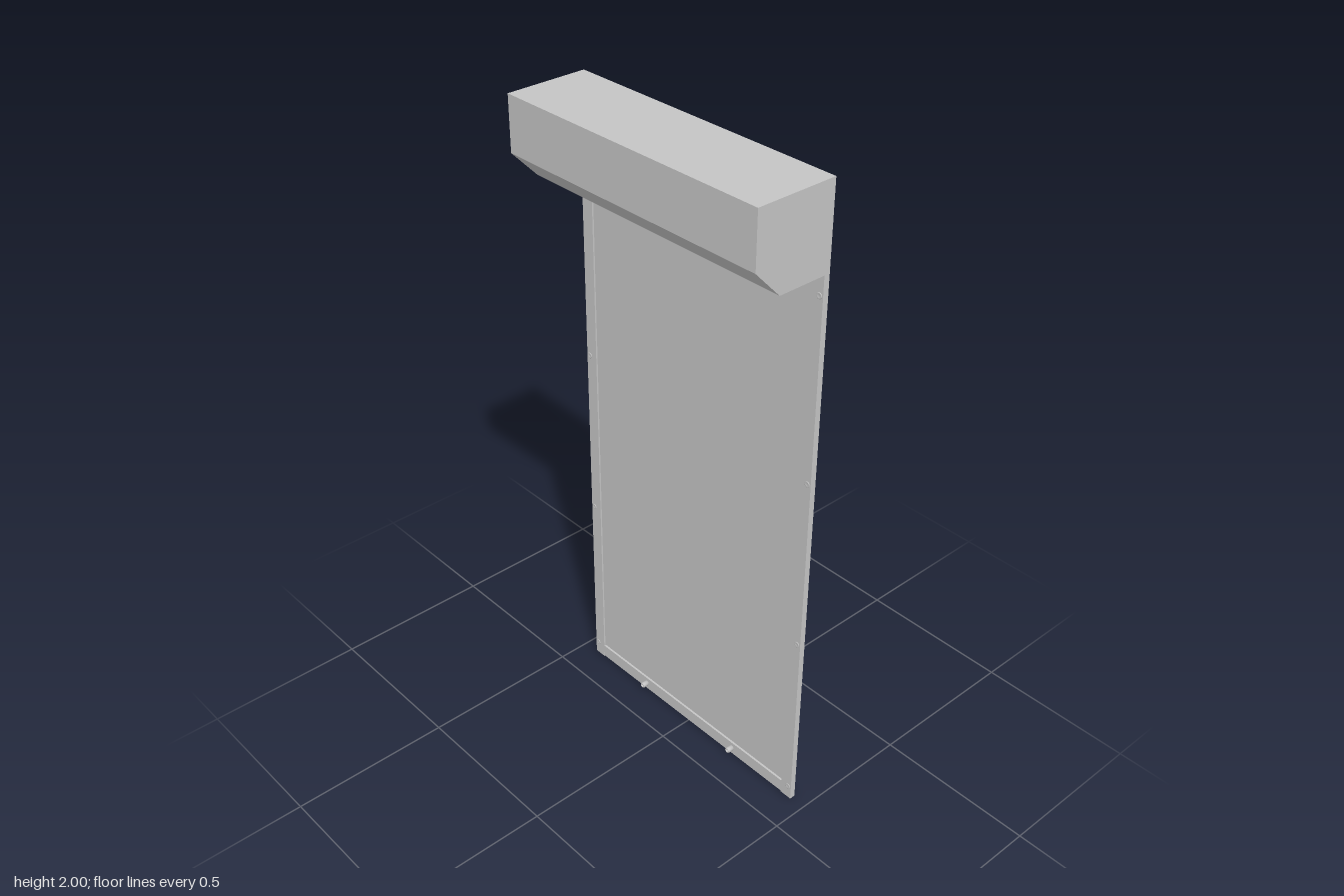
import * as THREE from 'three';

export function createModel() {
  const group = new THREE.Group();
  group.name = 'rollerBlind';
  const grey = new THREE.MeshStandardMaterial({ color: 0xc4c4c4 });
  grey.name = 'light grey';

  const add = (name, geometry, x, y, z) => {
    const mesh = new THREE.Mesh(geometry, grey);
    mesh.name = name;
    mesh.position.set(x, y, z);
    group.add(mesh);
    return mesh;
  };
  const box = (name, w, h, d, x, y, z) => add(name, new THREE.BoxGeometry(w, h, d), x, y, z);

  // Screw head facing the front, with a raised rim around a shallow dish
  const screw = (name, x, y, zBack, length, radius) => {
    const profile = [
      [0, 0], [radius, 0], [radius, length * 0.8], [radius * 0.85, length],
      [radius * 0.55, length], [radius * 0.45, length * 0.7], [0, length * 0.7],
    ].map(([r, h]) => new THREE.Vector2(r, h));
    const geometry = new THREE.LatheGeometry(profile, 16);
    geometry.rotateX(Math.PI / 2);
    add(name, geometry, x, y, zBack);
  };

  // Housing: side profile with a chamfered lower front edge, swept across the width
  const W = 0.9, railTop = 1.753;
  const side = new THREE.Shape([
    [-0.125, railTop], [0.043, railTop], [0.125, 1.838], [0.125, 2], [-0.125, 2],
  ].map(([z, y]) => new THREE.Vector2(z, y)));
  const housing = new THREE.ExtrudeGeometry(side, { depth: W, bevelEnabled: false });
  housing.translate(0, 0, -W / 2);
  housing.rotateY(-Math.PI / 2);
  // The quarter turn sends the profile axis to +z
  add('housing', housing, 0, 0, 0);

  // Side rails: channels open toward the screen
  for (const s of [-1, 1]) {
    const rail = s < 0 ? 'rightRail' : 'leftRail';
    box(rail + 'Outer', 0.024, railTop, 0.018, s * 0.438, railTop / 2, -0.116);
    box(rail + 'FrontLip', 0.016, railTop, 0.005, s * 0.418, railTop / 2, -0.1095);
    box(rail + 'BackLip', 0.016, railTop, 0.005, s * 0.418, railTop / 2, -0.1225);
    for (const y of [0.045, 0.6, 1.145, 1.695]) {
      screw('railScrew', s * 0.438, y, -0.108, 0.003, 0.009);
    }
    screw('bottomScrew', s * 0.197, 0.025, -0.107, 0.02, 0.009);
  }

  // Screen sheet running between the rails
  box('screen', 0.848, railTop - 0.04, 0.003, 0, (railTop + 0.04) / 2, -0.116);

  // Bottom bar
  box('bottomBar', 0.82, 0.042, 0.016, 0, 0.023, -0.116);

  return group;
}
